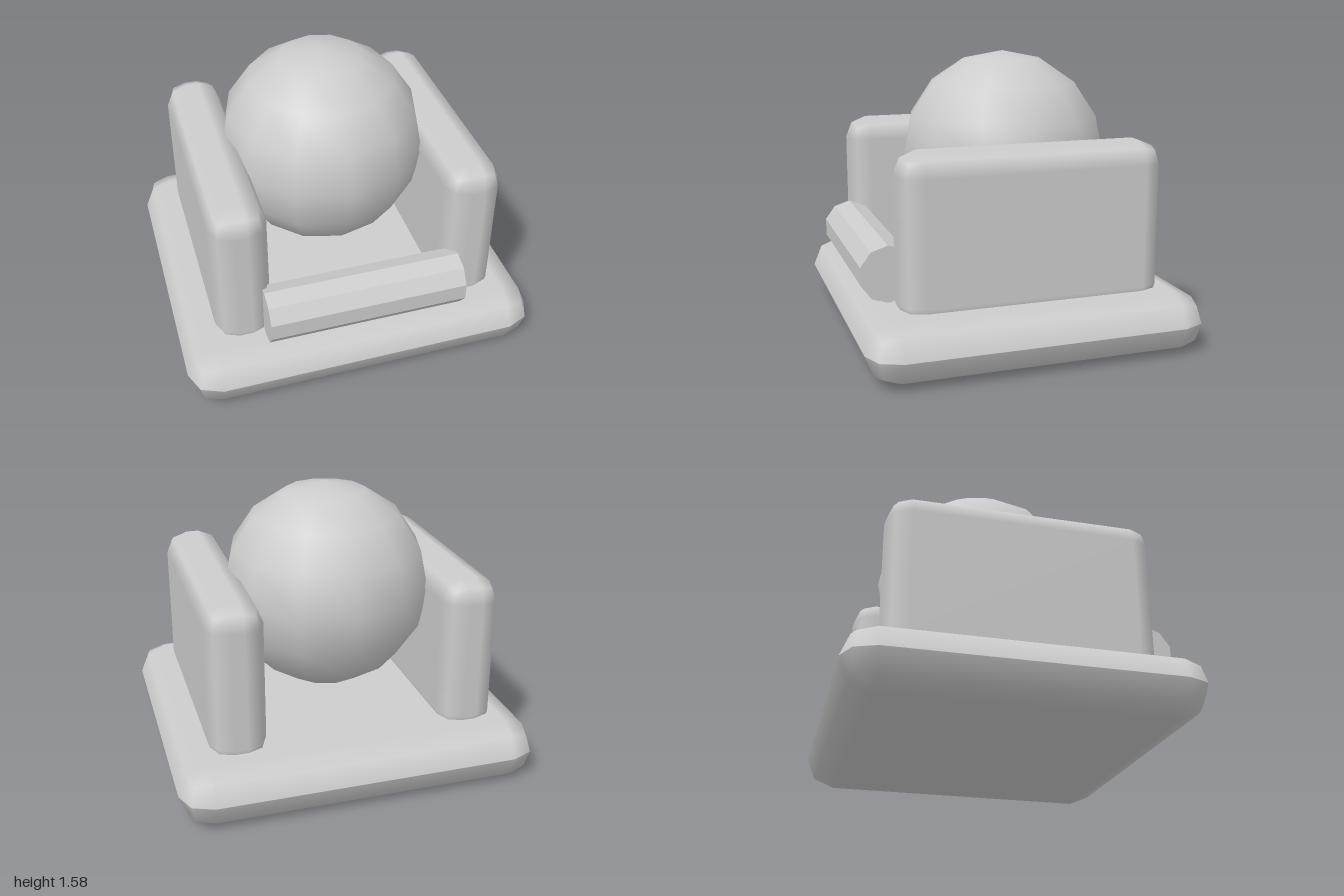
import * as THREE from 'three';
import { RoundedBoxGeometry } from 'three/addons/geometries/RoundedBoxGeometry.js';

const stone = new THREE.MeshStandardMaterial({ color: 0xcccccc });
stone.name = 'light grey';

function addPart(group, name, geometry, x, y, z) {
  const mesh = new THREE.Mesh(geometry, stone);
  mesh.name = name;
  mesh.position.set(x, y, z);
  group.add(mesh);
  return mesh;
}

// Gives a bevelled slab a hard edge around its middle by tilting the
// normals of the upper and lower halves away from each other.
function splitAtMiddle(geometry) {
  const pos = geometry.attributes.position;
  const nor = geometry.attributes.normal;
  const n = new THREE.Vector3();
  for (let t = 0; t < pos.count; t += 3) {
    const centre = (pos.getY(t) + pos.getY(t + 1) + pos.getY(t + 2)) / 3;
    for (let i = t; i < t + 3; i++) {
      if (Math.abs(pos.getY(i)) > 0.01) continue;
      n.fromBufferAttribute(nor, i);
      if (Math.abs(centre) > 0.01) n.y = Math.sign(centre) * 0.4;
      n.normalize();
      nor.setXYZ(i, n.x, n.y, n.z);
    }
  }
  return geometry;
}

export function createModel() {
  const model = new THREE.Group();
  model.name = 'ballSeat';

  // Base slab with fully bevelled sides
  const base = splitAtMiddle(new RoundedBoxGeometry(2, 0.333, 1.86, 1, 0.166));
  addPart(model, 'base', base, 0, 0.1665, 0);

  // Side walls, sunk slightly into the base
  for (const side of [-1, 1]) {
    const wall = new RoundedBoxGeometry(0.315, 0.91, 1.445, 1, 0.122);
    addPart(model, side > 0 ? 'leftWall' : 'rightWall', wall, side * 0.6475, 0.69, 0);
  }

  // Large ball held between the walls
  addPart(model, 'ball', new THREE.SphereGeometry(0.59, 12, 8), 0, 0.995, -0.07);

  // Ten-sided front bar with flat faces
  const bar = new THREE.CylinderGeometry(0.155, 0.155, 1.1, 10, 1, false, Math.PI / 2)
    .rotateZ(Math.PI / 2)
    .toNonIndexed();
  bar.computeVertexNormals();
  addPart(model, 'frontBar', bar, 0, 0.485, 0.74);

  return model;
}
